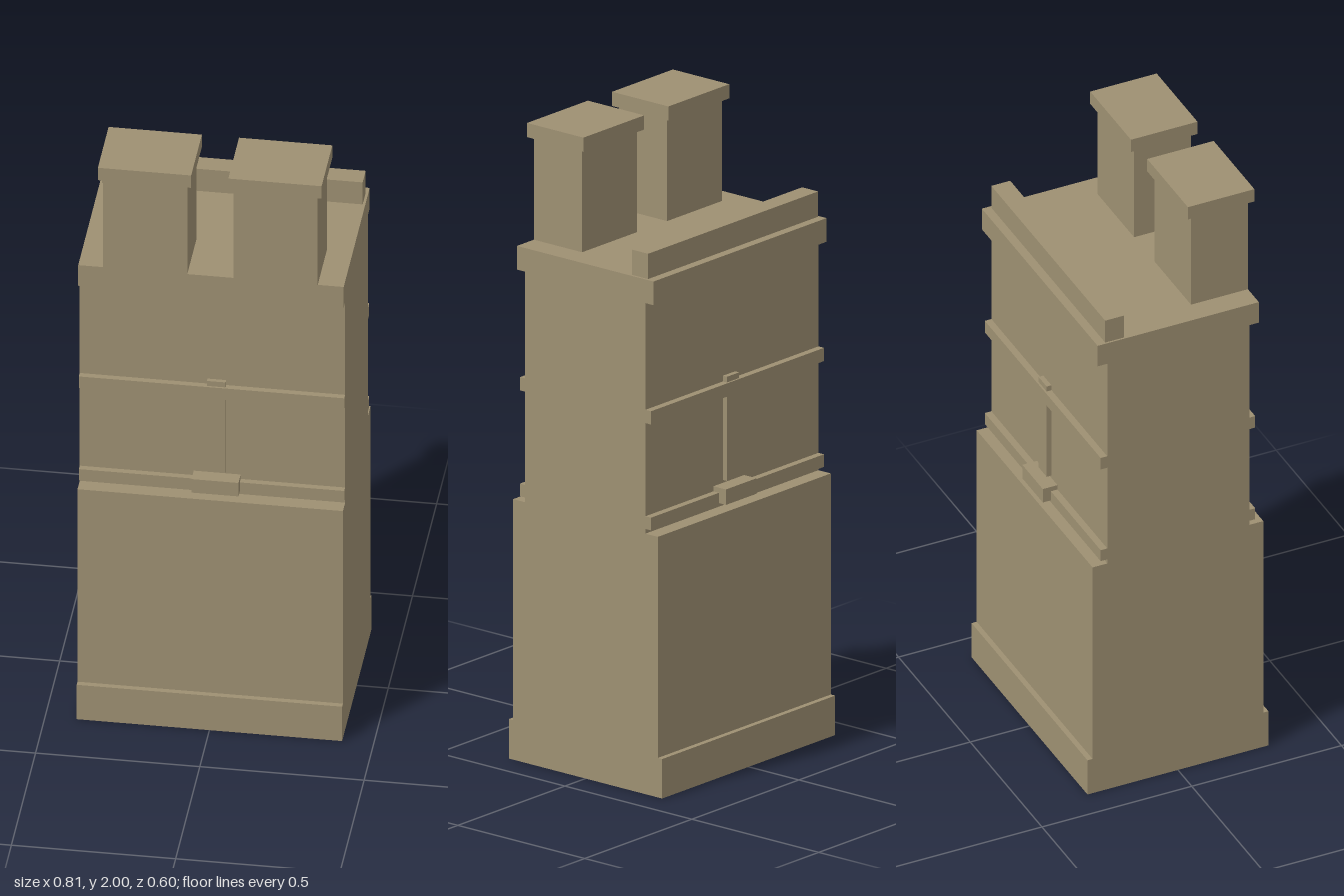
import * as THREE from 'three';

const stone = new THREE.MeshStandardMaterial({ color: 0x9e9072 });
stone.name = 'stone';

const HALF_W = 0.404; // half width of the tower

// Box given by its extents on each axis
function block(parent, name, [x0, x1], [y0, y1], [z0, z1]) {
  const mesh = new THREE.Mesh(new THREE.BoxGeometry(x1 - x0, y1 - y0, z1 - z0), stone);
  mesh.name = name;
  mesh.position.set((x0 + x1) / 2, (y0 + y1) / 2, (z0 + z1) / 2);
  parent.add(mesh);
}

export function createModel() {
  const model = new THREE.Group();
  model.name = 'tower';
  const wide = [-HALF_W, HALF_W];

  // Stacked storeys, all flush at the sides
  block(model, 'plinth', wide, [0, 0.125], [-0.302, 0.302]);
  block(model, 'lowerWall', wide, [0.125, 0.825], [-0.285, 0.285]);
  block(model, 'upperWall', wide, [0.825, 1.555], [-0.236, 0.239]);
  block(model, 'cornice', wide, [1.555, 1.63], [-0.268, 0.27]);

  // Raised trim, repeated on front and back
  for (const [label, side] of [['front', 1], ['back', -1]]) {
    const wall = side > 0 ? 0.239 : 0.236;
    const depth = (out) => (side > 0 ? [wall, out] : [-out, -wall]);
    const trim = new THREE.Group();
    trim.name = label + 'Trim';
    block(trim, 'lowerBand', wide, [0.84, 0.88], depth(0.258));
    block(trim, 'upperBand', wide, [1.175, 1.217], depth(0.258));
    block(trim, 'mullion', [-0.015, 0.042], [0.905, 1.235], depth(0.252));
    block(trim, 'sillBlock', [-0.057, 0.086], [0.847, 0.896], depth(0.285));
    model.add(trim);
  }

  // Low parapet along the back of the roof
  block(model, 'parapet', [-0.398, 0.396], [1.63, 1.71], [-0.24, -0.177]);

  // Pair of capped chimneys
  for (const [label, x] of [['right', -0.2], ['left', 0.197]]) {
    const chimney = new THREE.Group();
    chimney.name = label + 'Chimney';
    block(chimney, 'shaft', [x - 0.128, x + 0.128], [1.63, 1.955], [0.08, 0.27]);
    block(chimney, 'cap', [x - 0.142, x + 0.142], [1.955, 2], [0.063, 0.285]);
    model.add(chimney);
  }

  return model;
}
